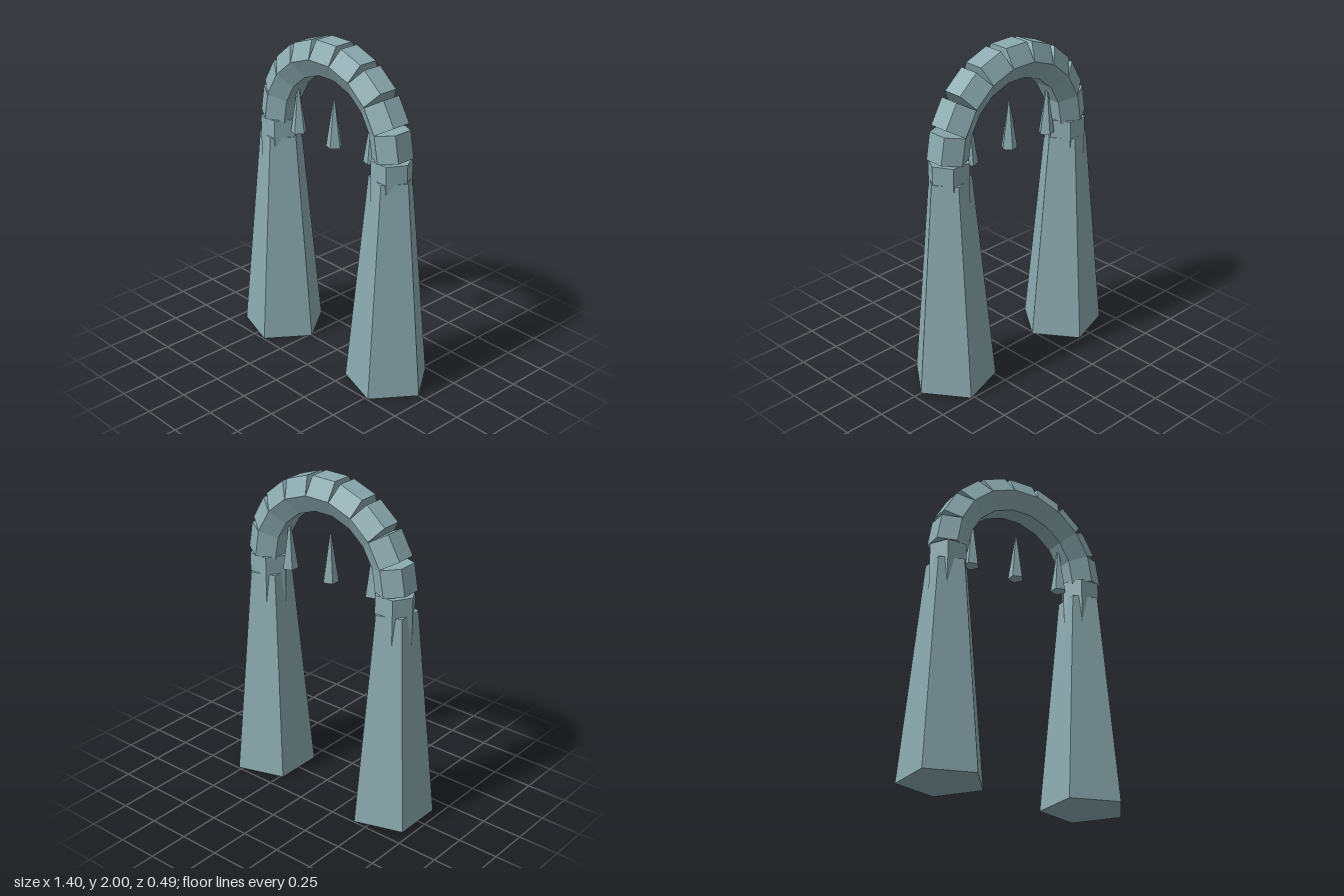
import * as THREE from 'three';

const CENTRE_X = -0.025;  // arch axis
const SPRING_Y = 1.43;    // height where the arch starts
const ARCH_R = 0.467;     // arch centreline radius
const BLOCKS = 9;

export function createModel() {
  const group = new THREE.Group();
  const stone = new THREE.MeshStandardMaterial({ color: 0x8cabb0 });
  stone.name = 'blueGreyStone';
  stone.flatShading = true;

  const add = (name, geometry, x, y) => {
    const mesh = new THREE.Mesh(geometry, stone);
    mesh.name = name;
    mesh.position.set(x, y, 0);
    group.add(mesh);
    return mesh;
  };

  // Upright prism or cone standing on y, with one corner facing +x
  const upright = (name, rTop, rBottom, height, sides, x, y) =>
    add(name, new THREE.CylinderGeometry(rTop, rBottom, height, sides).rotateY(Math.PI / 2), x, y + height / 2);

  // Tapered five-sided pillars, each with a six-sided core rising out of the top
  for (const [side, s] of [['left', 1], ['right', -1]]) {
    const x = CENTRE_X + s * ARCH_R;
    upright(side + 'Pillar', 0.131, 0.257, 1.32, 5, x, 0);
    upright(side + 'PillarCore', 0.122, 0.122, 0.33, 6, x, SPRING_Y - 0.33);
  }

  // Six-sided arch blocks that meet along the centreline
  const step = Math.PI / BLOCKS;
  const block = new THREE.CylinderGeometry(0.12, 0.12, 2 * ARCH_R * Math.sin(step / 2), 6);
  for (let i = 0; i < BLOCKS; i++) {
    const a = (i + 0.5) * step;
    const mesh = add('archBlock' + (i + 1), block,
      CENTRE_X + ARCH_R * Math.cos(a), SPRING_Y + ARCH_R * Math.sin(a));
    mesh.rotation.z = a;
  }

  // Three pointed pendants under the arch
  for (const [name, dx] of [['rightPendant', -0.308], ['middlePendant', 0], ['leftPendant', 0.308]]) {
    upright(name, 0, 0.049, 0.32, 5, CENTRE_X + dx, 1.363);
  }

  return group;
}
